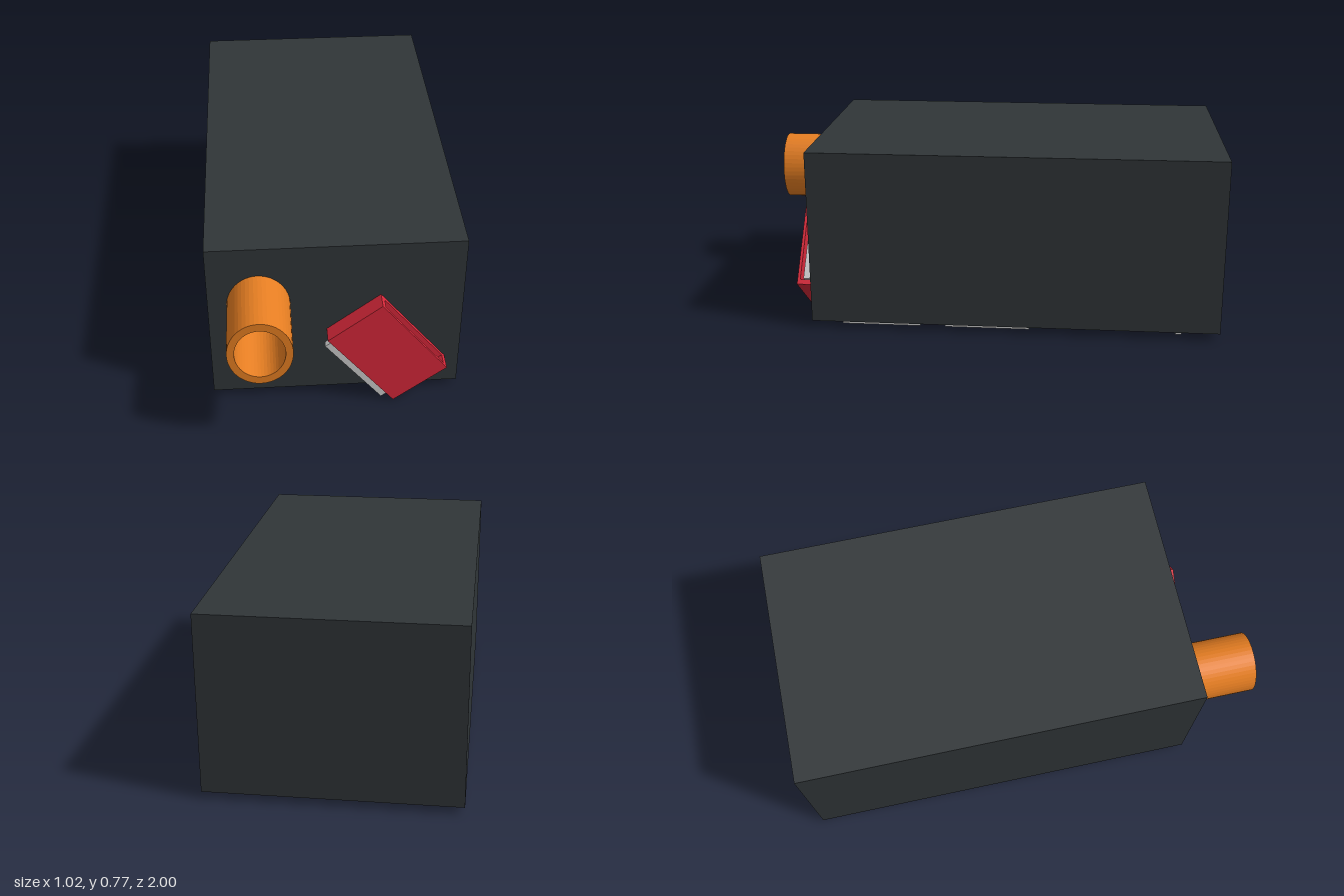
import * as THREE from 'three';

const paint = (color) => new THREE.MeshStandardMaterial({ color });
const dark = paint(0x303538);
const orange = paint(0xe67e22);
const red = paint(0xd62839);
const grey = paint(0xcccccc);
orange.flatShading = true;

function add(parent, name, geometry, material, x = 0, y = 0, z = 0) {
  const mesh = new THREE.Mesh(geometry, material);
  mesh.name = name;
  mesh.position.set(x, y, z);
  parent.add(mesh);
  return mesh;
}

function rect(path, x0, y0, x1, y1) {
  path.moveTo(x0, y0).lineTo(x1, y0).lineTo(x1, y1).lineTo(x0, y1).closePath();
  return path;
}

// Rectangle with a rectangular hole, extruded along z
function frame(outer, hole, depth) {
  const shape = rect(new THREE.Shape(), ...outer);
  shape.holes.push(rect(new THREE.Path(), ...hole));
  return new THREE.ExtrudeGeometry(shape, { depth, bevelEnabled: false });
}

export function createModel() {
  const model = new THREE.Group();
  model.name = 'model';

  // Casing: walls around a deep compartment open at the bottom, closed by a top slab
  const body = new THREE.Group();
  body.name = 'body';
  model.add(body);
  const walls = frame([-0.512, -0.72, 0.512, 1], [-0.44, 0.33, 0.445, 0.83], 0.67);
  walls.rotateX(-Math.PI / 2);
  add(body, 'bodyWalls', walls, dark, 0, 0.03, 0);
  add(body, 'bodyTop', new THREE.BoxGeometry(1.024, 0.07, 1.72), dark, 0, 0.735, -0.14);

  // Panels and strip under the casing: [name, front z, back z]
  const panels = [
    ['frontPanel', 0.6, 0.263],
    ['middlePanel', 0.157, -0.203],
    ['rearStrip', -0.82, -0.845],
  ];
  for (const [name, z0, z1] of panels) {
    add(model, name, new THREE.BoxGeometry(0.895, 0.03, z0 - z1), grey, 0.013, 0.015, (z0 + z1) / 2);
  }

  // Oval pipe stub on the front
  const ring = new THREE.Shape().absellipse(0, 0, 0.127, 0.152, 0, Math.PI * 2);
  ring.holes.push(new THREE.Path().absellipse(0, 0, 0.098, 0.117, 0, Math.PI * 2));
  const pipe = new THREE.ExtrudeGeometry(ring, { depth: 0.28, bevelEnabled: false, curveSegments: 24 });
  add(model, 'pipe', pipe, orange, -0.31, 0.488, 0.72);

  // Tilted sleeve, open at both long edges, with a card sliding through it
  const holder = new THREE.Group();
  holder.name = 'cardHolder';
  holder.position.set(0.207, 0.26, 0.757);
  holder.rotation.z = 0.667;
  model.add(holder);
  const sleeve = frame([-0.037, -0.222, 0.037, 0.222], [-0.025, -0.2, 0.021, 0.2], 0.276);
  sleeve.translate(0, 0, -0.138).rotateY(Math.PI / 2);
  add(holder, 'sleeve', sleeve, red);
  add(holder, 'card', new THREE.BoxGeometry(0.294, 0.38, 0.027), grey, -0.028, 0, 0.003);

  return model;
}
